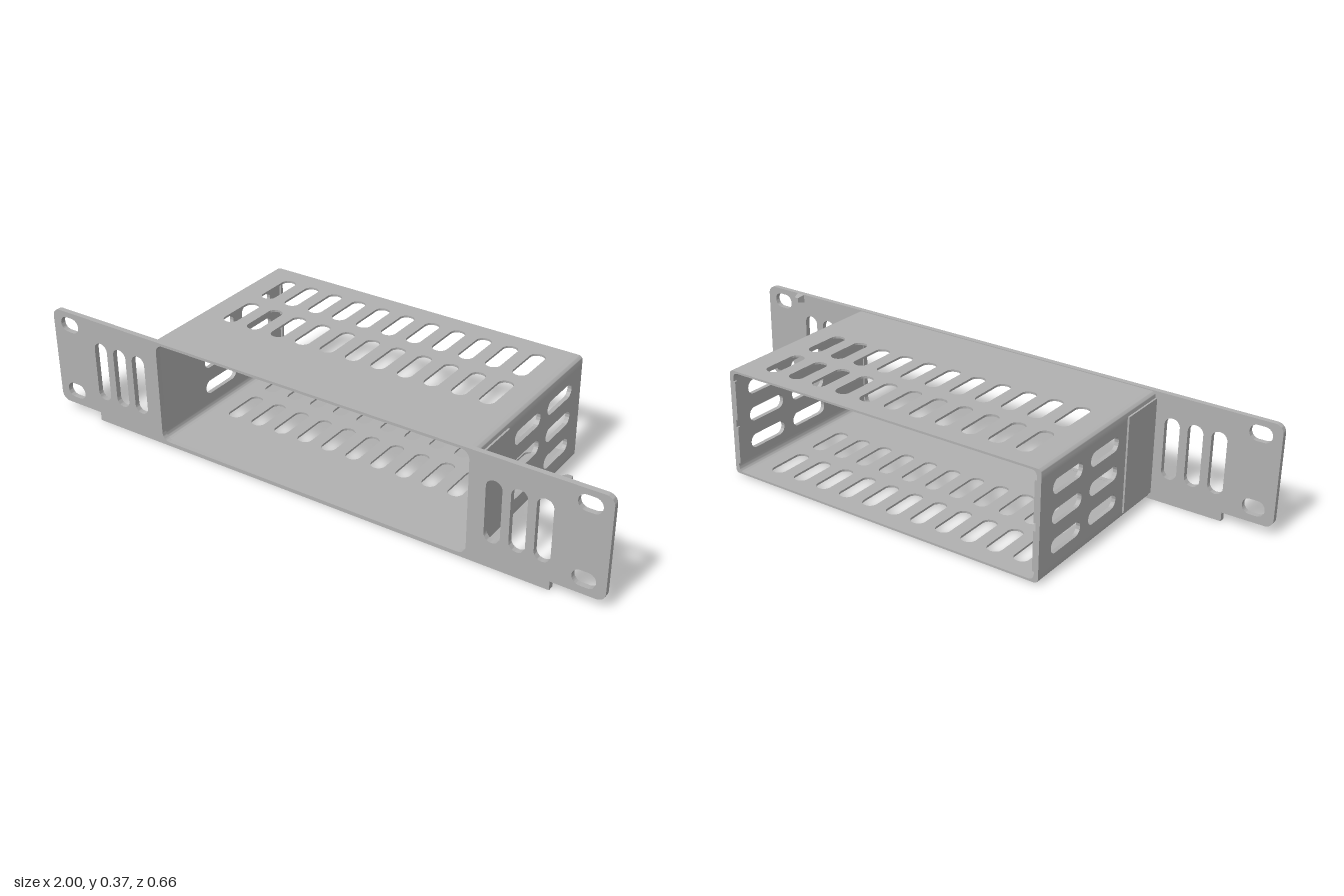
import * as THREE from 'three';
import { toCreasedNormals } from 'three/addons/utils/BufferGeometryUtils.js';

const metal = new THREE.MeshStandardMaterial({ color: 0xb0b0b0 });
metal.name = 'grey metal';

// Sleeve outer and inner limits, plate depth
const X = 0.582, XI = 0.568, TOP = 0.367, BOTTOM = 0.005, WALL = 0.007;
const BACK = -0.33, PLATE_BACK = 0.312, FRONT = 0.33, CORNER = 0.032;

function roundRect(path, x0, y0, x1, y1, r) {
  path.moveTo(x0 + r, y0);
  path.lineTo(x1 - r, y0);
  path.absarc(x1 - r, y0 + r, r, -Math.PI / 2, 0);
  path.lineTo(x1, y1 - r);
  path.absarc(x1 - r, y1 - r, r, 0, Math.PI / 2);
  path.lineTo(x0 + r, y1);
  path.absarc(x0 + r, y1 - r, r, Math.PI / 2, Math.PI);
  path.lineTo(x0, y0 + r);
  path.absarc(x0 + r, y0 + r, r, Math.PI, Math.PI * 1.5);
  return path;
}

// Stadium-shaped hole given by centre and size
function slot(shape, cx, cy, w, h) {
  const r = Math.min(w, h) / 2 - 0.0005;
  shape.holes.push(roundRect(new THREE.Path(), cx - w / 2, cy - h / 2, cx + w / 2, cy + h / 2, r));
}

function rect(x0, y0, x1, y1) {
  return new THREE.Shape([[x0, y0], [x1, y0], [x1, y1], [x0, y1]].map(p => new THREE.Vector2(...p)));
}

function extrude(shape, depth) {
  const g = new THREE.ExtrudeGeometry(shape, { depth, bevelEnabled: false, curveSegments: 8 });
  return toCreasedNormals(g, 0.6);
}

export function createModel() {
  const group = new THREE.Group();
  const add = (name, geometry) => {
    const mesh = new THREE.Mesh(geometry, metal);
    mesh.name = name;
    group.add(mesh);
    return mesh;
  };
  const box = (name, x0, x1, y0, y1, z0, z1) => add(name,
    new THREE.BoxGeometry(x1 - x0, y1 - y0, z1 - z0)
      .translate((x0 + x1) / 2, (y0 + y1) / 2, (z0 + z1) / 2));

  // Face plate with stepped lower edge, opening, vents and mounting holes
  const r = 0.028, step = 0.03, foot = 0.832;
  const plate = new THREE.Shape();
  plate.moveTo(-foot, 0);
  plate.lineTo(foot, 0);
  plate.lineTo(foot, step);
  plate.lineTo(1 - r, step);
  plate.absarc(1 - r, step + r, r, -Math.PI / 2, 0);
  plate.lineTo(1, 0.37 - r);
  plate.absarc(1 - r, 0.37 - r, r, 0, Math.PI / 2);
  plate.lineTo(-1 + r, 0.37);
  plate.absarc(-1 + r, 0.37 - r, r, Math.PI / 2, Math.PI);
  plate.lineTo(-1, step + r);
  plate.absarc(-1 + r, step + r, r, Math.PI, Math.PI * 1.5);
  plate.lineTo(-foot, step);
  plate.holes.push(roundRect(new THREE.Path(), -0.564, 0.013, 0.564, 0.361, 0.028));
  for (const s of [-1, 1]) {
    for (const x of [0.645, 0.724, 0.803]) slot(plate, s * x, 0.19, 0.052, 0.208);
    for (const y of [0.08, 0.325]) slot(plate, s * 0.932, y, 0.074, 0.052);
  }
  add('facePlate', extrude(plate, FRONT - PLATE_BACK).translate(0, 0, PLATE_BACK));

  // Top and bottom panels with two rows of slots
  for (const [name, y] of [['topPanel', TOP - WALL], ['bottomPanel', BOTTOM]]) {
    const shape = rect(-X + CORNER, -PLATE_BACK, X - CORNER, -BACK);
    for (let i = -5; i <= 5; i++) {
      slot(shape, i * 0.0942, 0.19, 0.05, 0.155);
      slot(shape, i * 0.0942, -0.012, 0.05, 0.155);
    }
    add(name, extrude(shape, WALL).rotateX(-Math.PI / 2).translate(0, y, 0));
  }

  // Side panels with a grid of slots
  for (const [name, x] of [['leftPanel', XI], ['rightPanel', -X]]) {
    const shape = rect(-PLATE_BACK, BOTTOM + CORNER, -BACK, TOP - CORNER);
    for (const y of [0.09, 0.186, 0.282]) {
      slot(shape, -0.017, y, 0.159, 0.048);
      slot(shape, 0.187, y, 0.159, 0.048);
    }
    add(name, extrude(shape, X - XI).rotateY(Math.PI / 2).translate(x, 0, 0));
  }

  // Rounded corners joining the panels
  const midY = (TOP + BOTTOM) / 2, H = (TOP - BOTTOM) / 2, ro = 0.016;
  for (const sx of [-1, 1]) for (const sy of [-1, 1]) {
    const p = (x, y) => [sx * x, midY + sy * y];
    const c = new THREE.Shape();
    c.moveTo(...p(X - CORNER, H));
    c.lineTo(...p(X - ro, H));
    c.quadraticCurveTo(...p(X, H), ...p(X, H - ro));
    c.lineTo(...p(X, H - CORNER));
    c.lineTo(...p(XI, H - CORNER));
    c.quadraticCurveTo(...p(XI, H - WALL), ...p(X - CORNER, H - WALL));
    add('sleeveCorner', extrude(c, PLATE_BACK - BACK).translate(0, 0, BACK));
  }

  for (const s of [-1, 1]) {
    // Reinforcing pad outside each wall, behind the plate
    const [a, b] = s > 0 ? [X, 0.588] : [-0.588, -X];
    box('sidePad', a, b, 0.023, 0.347, 0.143, PLATE_BACK);
    // Low retaining ridges inside the rear edge
    const [c, d] = s > 0 ? [0.561, XI] : [-XI, -0.561];
    box('retainingRidge', c, d, 0.04, 0.17, BACK, BACK + 0.01);
    box('retainingRidge', c, d, 0.195, 0.33, BACK, BACK + 0.01);
  }

  // Tapered locating pegs on the back of the plate
  for (const [x, y] of [[0.848, 0.355], [0.848, 0.042], [0.818, 0.015]]) {
    const g = new THREE.CylinderGeometry(0.011, 0.021, 0.025, 4, 1).rotateY(Math.PI / 4);
    g.rotateX(-Math.PI / 2);
    const peg = add('locatingPeg', g.toNonIndexed());
    peg.geometry.computeVertexNormals();
    peg.position.set(x, y, PLATE_BACK - 0.0125);
  }
  return group;
}
